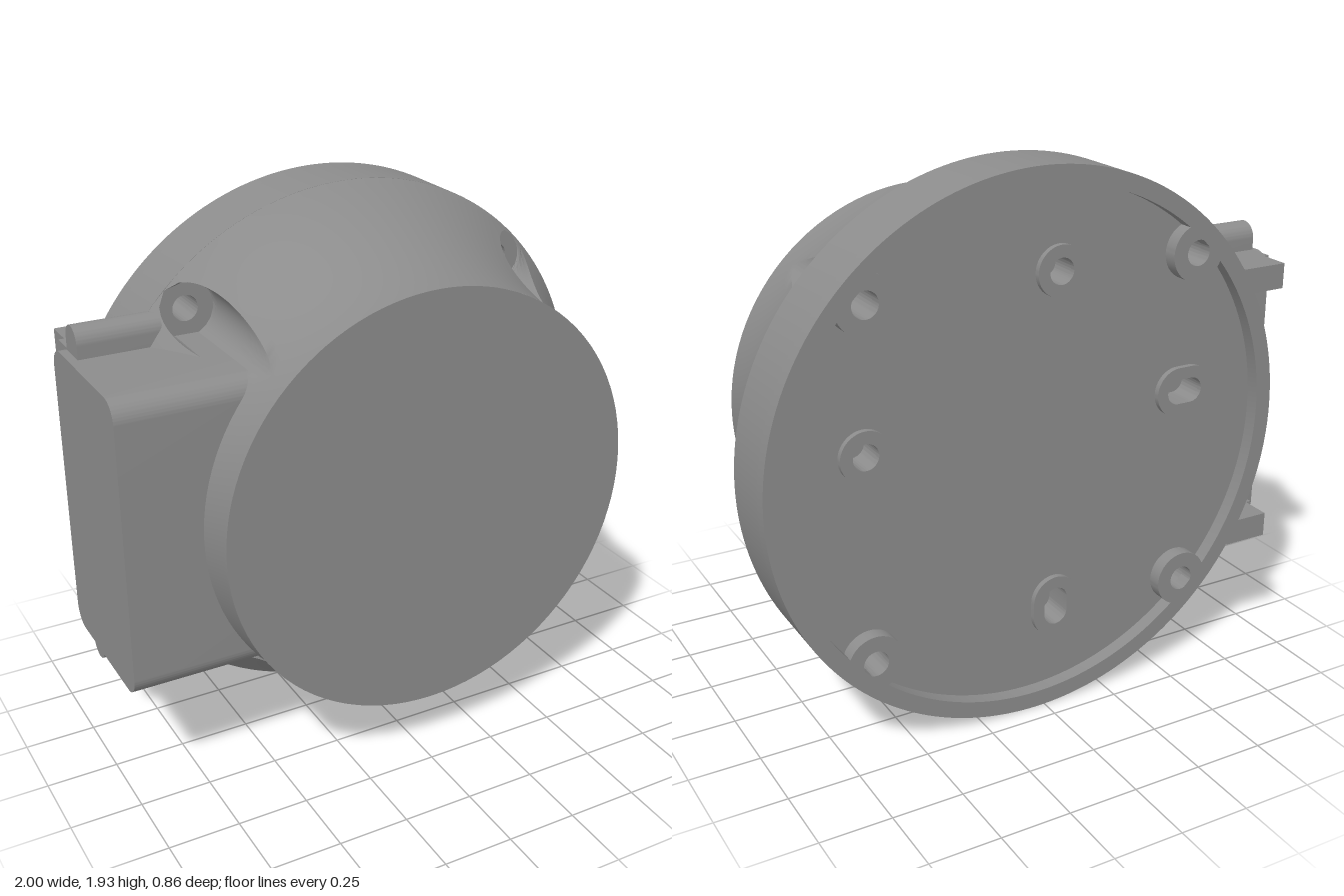
import * as THREE from 'three';
import { toCreasedNormals } from 'three/addons/utils/BufferGeometryUtils.js';

const CX = 0.035, CY = 0.965, R = 0.965;   // housing axis and flange radius
const BOLT = 0.863, POCKET = 0.1, HOLE = 0.045;
const BACK = -0.43, FLOOR = -0.38, LIP = -0.18, FRONT = 0.43;
const TAU = Math.PI * 2;

export function createModel() {
  const model = new THREE.Group();
  const grey = new THREE.MeshStandardMaterial({ color: 0x8c8c8c });
  grey.name = 'grey plastic';

  const add = (name, geometry, parent = model) => {
    const mesh = new THREE.Mesh(geometry, grey);
    mesh.name = name;
    parent.add(mesh);
    return mesh;
  };

  // A stadium outline; length 0 in both directions gives a circle
  const slot = (Type, x, y, r, lx = 0, ly = 0) => {
    const p = new Type();
    const a = ly ? Math.PI / 2 : 0;
    p.absarc(x + lx, y + ly, r, a - Math.PI / 2, a + Math.PI / 2, false);
    p.absarc(x - lx, y - ly, r, a + Math.PI / 2, a + Math.PI * 1.5, false);
    p.closePath();
    return p;
  };
  const extrude = (shape, depth, curveSegments = 16) =>
    new THREE.ExtrudeGeometry(shape, { depth, bevelEnabled: false, curveSegments });
  const smooth = (g) => toCreasedNormals(g, 0.5);

  // Plate in the xy plane between two z values
  const plate = (name, shape, holes, z0, z1, segments) => {
    shape.holes.push(...holes);
    const g = smooth(extrude(shape, z1 - z0, segments));
    g.translate(CX, CY, z0);
    return add(name, g);
  };
  // Bar with a zy outline, running from x0 towards -x
  const bar = (name, shape, x0, x1, parent) => {
    const g = smooth(extrude(shape, x0 - x1));
    g.rotateY(-Math.PI / 2);
    g.translate(x0, 0, 0);
    return add(name, g, parent);
  };
  const block = (name, x0, x1, y0, y1, z0, z1, parent) => {
    const g = new THREE.BoxGeometry(x1 - x0, y1 - y0, z1 - z0);
    g.translate((x0 + x1) / 2, (y0 + y1) / 2, (z0 + z1) / 2);
    return add(name, g, parent);
  };

  // Mounting positions, relative to the housing axis
  const corners = [0, 1, 2, 3].map((i) => {
    const a = Math.PI / 4 + i * Math.PI / 2;
    return [BOLT * Math.cos(a), BOLT * Math.sin(a)];
  });
  const studs = [
    [-0.093, 0.61, 0, 0], [0.61, 0.11, 0, 0],
    [-0.605, 0.11, 0.025, 0], [-0.093, -0.6, 0, 0.025],
  ];
  const cornerHole = ([x, y]) => slot(THREE.Path, x, y, HOLE);
  const studHole = ([x, y, lx, ly]) => slot(THREE.Path, x, y, HOLE, lx, ly);

  // Flange with through holes and blind holes, and its raised rim at the back
  plate('flange', slot(THREE.Shape, 0, 0, R),
    [...corners.map(cornerHole), ...studs.map(studHole)], FLOOR, LIP, 48);
  plate('rim', slot(THREE.Shape, 0, 0, R), [slot(THREE.Path, 0, 0, 0.905)], BACK, FLOOR, 48);
  for (const c of corners)
    plate('cornerBoss', slot(THREE.Shape, c[0], c[1], POCKET), [cornerHole(c)], BACK, FLOOR);
  for (const s of studs)
    plate('studBoss', slot(THREE.Shape, s[0], s[1], 0.088, s[2], s[3]), [studHole(s)], -0.4, FLOOR);
  const bottom = new THREE.CircleGeometry(0.78, 48);
  bottom.rotateY(Math.PI);
  bottom.translate(CX, CY, -0.285);
  add('blindHoleBottom', bottom);

  // Flared housing: circular sections with four round screw pockets cut away
  const radiusAt = (z) => 0.757 + 1 - Math.sqrt(1 - (FRONT - z) ** 2);
  const section = (z) => {
    const r = radiusAt(z), pts = [];
    const cos = (r * r + BOLT * BOLT - POCKET * POCKET) / (2 * r * BOLT);
    const phi = Math.acos(Math.min(1, cos));
    const psi = Math.atan2(r * Math.sin(phi), r * Math.cos(phi) - BOLT);
    const clear = r <= BOLT - POCKET;
    for (let q = 0; q < 4; q++) {
      const a = Math.PI / 4 + q * Math.PI / 2;
      for (let i = 0; i <= 20; i++) {
        const s = -psi - (TAU - 2 * psi) * i / 20;
        const u = clear ? r : BOLT + POCKET * Math.cos(s);
        const v = clear ? 0 : POCKET * Math.sin(s);
        pts.push([u * Math.cos(a) - v * Math.sin(a), u * Math.sin(a) + v * Math.cos(a)]);
      }
      for (let i = 1; i < 28; i++) {
        const t = a + phi + (Math.PI / 2 - 2 * phi) * i / 28;
        pts.push([r * Math.cos(t), r * Math.sin(t)]);
      }
    }
    return pts;
  };
  const position = [], index = [], steps = 32;
  let n = 0;
  for (let k = 0; k <= steps; k++) {
    const z = LIP + (FRONT - LIP) * k / steps;
    const pts = section(z);
    n = pts.length;
    for (const [x, y] of pts) position.push(CX + x, CY + y, z);
  }
  for (let k = 0; k < steps; k++)
    for (let i = 0; i < n; i++) {
      const a = k * n + i, b = k * n + (i + 1) % n;
      index.push(a, b, b + n, a, b + n, a + n);
    }
  const skin = new THREE.BufferGeometry();
  skin.setAttribute('position', new THREE.Float32BufferAttribute(position, 3));
  skin.setIndex(index);
  add('flaredHousing', smooth(skin));
  const face = new THREE.CircleGeometry(0.757, 96);
  face.translate(CX, CY, FRONT);
  add('frontFace', face);

  // Side box with rounded long edges
  const z0 = -0.29, z1 = 0.28, y0 = 0.445, y1 = 1.485, f = 0.07;
  const outline = new THREE.Shape();
  outline.absarc(z1 - f, y1 - f, f, 0, Math.PI / 2, false);
  outline.absarc(z0 + f, y1 - f, f, Math.PI / 2, Math.PI, false);
  outline.absarc(z0 + f, y0 + f, f, Math.PI, Math.PI * 1.5, false);
  outline.absarc(z1 - f, y0 + f, f, Math.PI * 1.5, TAU, false);
  outline.closePath();
  bar('sideBox', outline, -0.3, -1);

  // Hinge rod, ledge and rear tab, mirrored above and below the box
  for (const upper of [true, false]) {
    const hinge = new THREE.Group();
    hinge.name = upper ? 'upperHinge' : 'lowerHinge';
    if (!upper) {
      hinge.scale.y = -1;
      hinge.position.y = 2 * CY;
    }
    model.add(hinge);
    const rod = new THREE.Shape();
    rod.moveTo(-0.23, 1.42);
    rod.lineTo(-0.12, 1.42);
    rod.absarc(-0.175, 1.53, 0.055, 0, Math.PI, false);
    rod.closePath();
    bar('hingeRod', rod, -0.68, -0.97, hinge);
    block('hingeLedge', -0.97, -0.7, 1.4, 1.49, -0.32, -0.14, hinge);
    block('rearTab', -0.95, -0.78, 1.4, 1.49, BACK, -0.28, hinge);
  }
  return model;
}
